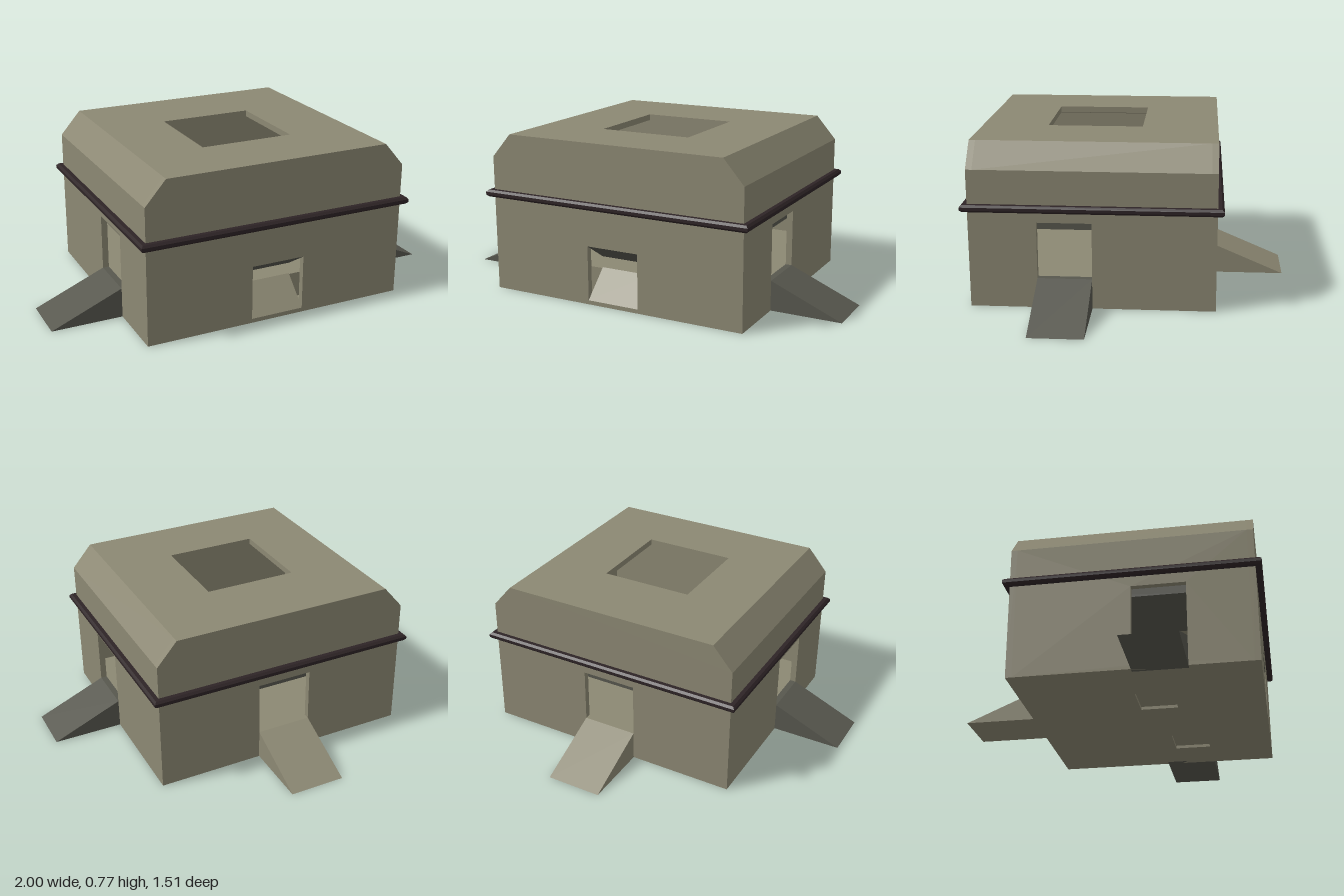
import * as THREE from 'three';

export function createModel() {
  const model = new THREE.Group();
  const mat = (name, color) => {
    const m = new THREE.MeshStandardMaterial({ color });
    m.name = name;
    return m;
  };
  const concrete = mat('concrete', 0x8c8873);
  const darkConcrete = mat('dark concrete', 0x57574e);
  const trim = mat('dark trim', 0x2e2426);

  const add = (name, geometry, material) => {
    const mesh = new THREE.Mesh(geometry, material);
    mesh.name = name;
    model.add(mesh);
    return mesh;
  };
  const poly = (pts, holes = []) => {
    const shape = new THREE.Shape(pts.map(p => new THREE.Vector2(...p)));
    for (const h of holes) shape.holes.push(new THREE.Path(h.map(p => new THREE.Vector2(...p))));
    return shape;
  };
  const rect = (a0, b0, a1, b1) => [[a0, b0], [a1, b0], [a1, b1], [a0, b1]];
  const extrude = (shape, depth) => new THREE.ExtrudeGeometry(shape, { depth, bevelEnabled: false });
  // (x, y) outline swept from z0 to z1
  const alongZ = (shape, z0, z1) => extrude(shape, z1 - z0).translate(0, 0, z0);
  // (z, y) outline swept from x0 to x1
  const alongX = (shape, x0, x1) => extrude(shape, x1 - x0).rotateY(-Math.PI / 2).translate(x1, 0, 0);
  // (x, z) outline swept from y0 to y1
  const alongY = (shape, y0, y1) => extrude(shape, y1 - y0).rotateX(Math.PI / 2).translate(0, y1, 0);
  const box = (x0, y0, z0, x1, y1, z1) =>
    new THREE.BoxGeometry(x1 - x0, y1 - y0, z1 - z0)
      .translate((x0 + x1) / 2, (y0 + y1) / 2, (z0 + z1) / 2);

  const W = 0.655, T = 0.03, ZF = 0.73, ZB = -0.415, H = 0.775;
  const EAVE = 0.66, RX = 0.555, DOOR = 0.415, STEP = 0.145;

  // Front and back walls with bevelled shoulders
  const gable = [[-W, 0], [W, 0], [W, EAVE], [RX, H], [-RX, H], [-W, EAVE]];
  add('frontWall', alongZ(poly(gable, [rect(-0.135, 0.02, 0.13, 0.285)]), ZF - T, ZF), concrete);
  add('backWall', alongZ(poly(gable, [rect(-0.14, 0.02, 0.135, DOOR)]), ZB, ZB + T), concrete);

  // Side walls, sloped shoulders and side ramps
  for (const [side, s] of [['left', 1], ['right', -1]]) {
    const wall = poly(rect(ZB + T, 0, ZF - T, EAVE), [rect(0.158, 0.02, 0.413, DOOR)]);
    const [x0, x1] = s > 0 ? [W - T, W] : [-W, -W + T];
    add(side + 'Wall', alongX(wall, x0, x1), concrete);

    const shoulder = poly([[s * W, EAVE], [s * RX, H], [s * RX, H - T], [s * (W - T), EAVE]]);
    add(side + 'Shoulder', alongZ(shoulder, ZB + T, ZF - T), concrete);

    const ramp = poly([[s * (W - T), 0], [s, 0], [s * W, STEP], [s * (W - T), STEP]]);
    add(side + 'Ramp', alongZ(ramp, 0.158, 0.413), darkConcrete);
  }

  // Roof with square hatch
  add('roof', alongY(poly(rect(-RX, ZB + T, RX, ZF - T), [rect(-0.235, -0.05, 0.225, 0.41)]), H - T, H), concrete);

  // Back ramp
  const backRamp = poly([[ZB + T, 0], [-0.755, 0], [ZB, STEP], [ZB + T, STEP]]);
  add('backRamp', alongX(backRamp, -0.14, 0.135), concrete);

  // Base plate with two shallow recesses, and the raised floor
  const recesses = [[0.31, 0.32], [-0.27, 0.22]].map(([x, z]) => rect(x - 0.1, z - 0.09, x + 0.1, z + 0.09));
  add('basePlate', alongY(poly(rect(-W + T, ZB + T, W - T, ZF - T), recesses), 0, 0.015), concrete);
  add('floor', box(-W + T, 0.015, ZB + T, W - T, 0.14, 0.6), concrete);

  // Upper floor, U-shaped around the opening under the hatch
  const u = [[-0.625, ZB + T], [0.625, ZB + T], [0.625, 0.415], [0.235, 0.415],
    [0.235, 0.15], [-0.235, 0.15], [-0.235, 0.415], [-0.625, 0.415]];
  add('upperFloor', alongY(poly(u), 0.375, 0.415), darkConcrete);

  // Splayed front window: sloping sill and hood
  add('windowSill', alongX(poly([[ZF, 0.02], [0.6, 0.02], [0.6, STEP]]), -0.135, 0.13), concrete);
  add('windowHood', alongX(poly([[ZF, 0.285], [0.6, 0.285], [0.6, 0.2]]), -0.135, 0.13), darkConcrete);

  // Bevelled band around the walls
  const band = poly(rect(-W - 0.02, ZB - 0.02, W + 0.02, ZF + 0.02),
    [rect(-W + 0.01, ZB + 0.01, W - 0.01, ZF - 0.01)]);
  const bandGeo = new THREE.ExtrudeGeometry(band, {
    depth: 0.014, bevelEnabled: true, bevelThickness: 0.01, bevelSize: 0.01, bevelSegments: 1,
  });
  add('wallBand', bandGeo.rotateX(Math.PI / 2).translate(0, 0.489, 0), trim);

  return model;
}
